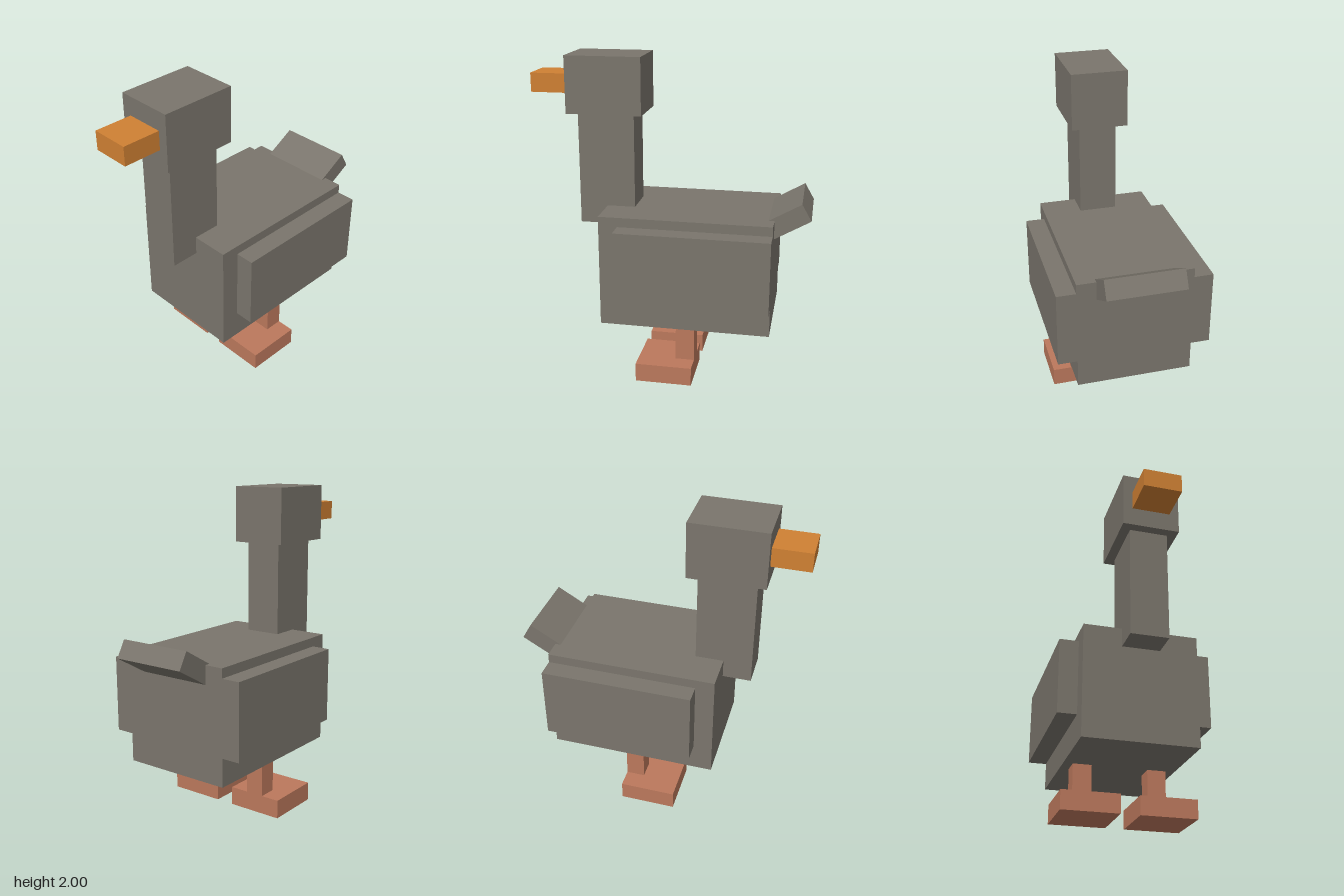
import * as THREE from 'three';

// Everything sits on a block grid, 17 blocks tall
const U = 2 / 17;
const Z0 = -0.06; // grid offset that centres the model in z

export function createModel() {
  const group = new THREE.Group();
  group.name = 'goose';

  const mat = (name, color) => {
    const m = new THREE.MeshStandardMaterial({ color });
    m.name = name;
    return m;
  };
  const feathers = mat('grey feathers', 0x7a756c);
  const orange = mat('orange beak', 0xcf8033);
  const skin = mat('pink-brown legs', 0xbb785c);

  // Box from min and max corners in blocks
  const block = (name, material, x0, x1, y0, y1, z0, z1) => {
    const geo = new THREE.BoxGeometry((x1 - x0) * U, (y1 - y0) * U, (z1 - z0) * U);
    const mesh = new THREE.Mesh(geo, material);
    mesh.position.set((x0 + x1) / 2 * U, (y0 + y1) / 2 * U, ((z0 + z1) / 2 + Z0) * U);
    mesh.name = name;
    group.add(mesh);
    return mesh;
  };

  // Body, neck and head
  block('body', feathers, -3, 3, 3, 9, -5.5, 3.5);
  block('neck', feathers, -1, 1, 8, 14, 2, 5);
  block('head', feathers, -1.5, 1.5, 14, 17, 1.5, 5.5);
  block('beak', orange, -1, 1, 15, 16, 5.5, 7.5);

  // Tail, tilted up towards the back
  const tail = block('tail', feathers, -2, 2, 8.27, 9.27, -7.3, -4.3);
  tail.rotation.x = Math.PI / 6;

  // Wings, legs and feet, mirrored
  for (const [side, s] of [['left', 1], ['right', -1]]) {
    const pair = (name, material, a, b, ...rest) =>
      block(side + name, material, Math.min(s * a, s * b), Math.max(s * a, s * b), ...rest);
    pair('Wing', feathers, 3, 4, 4.5, 8.5, -5.5, 2.5);
    pair('Leg', skin, 1.5, 2.5, 1, 3, -1.5, -0.5);
    pair('Foot', skin, 0.5, 3.5, 0, 1, -1.5, 1.5);
  }
  return group;
}
